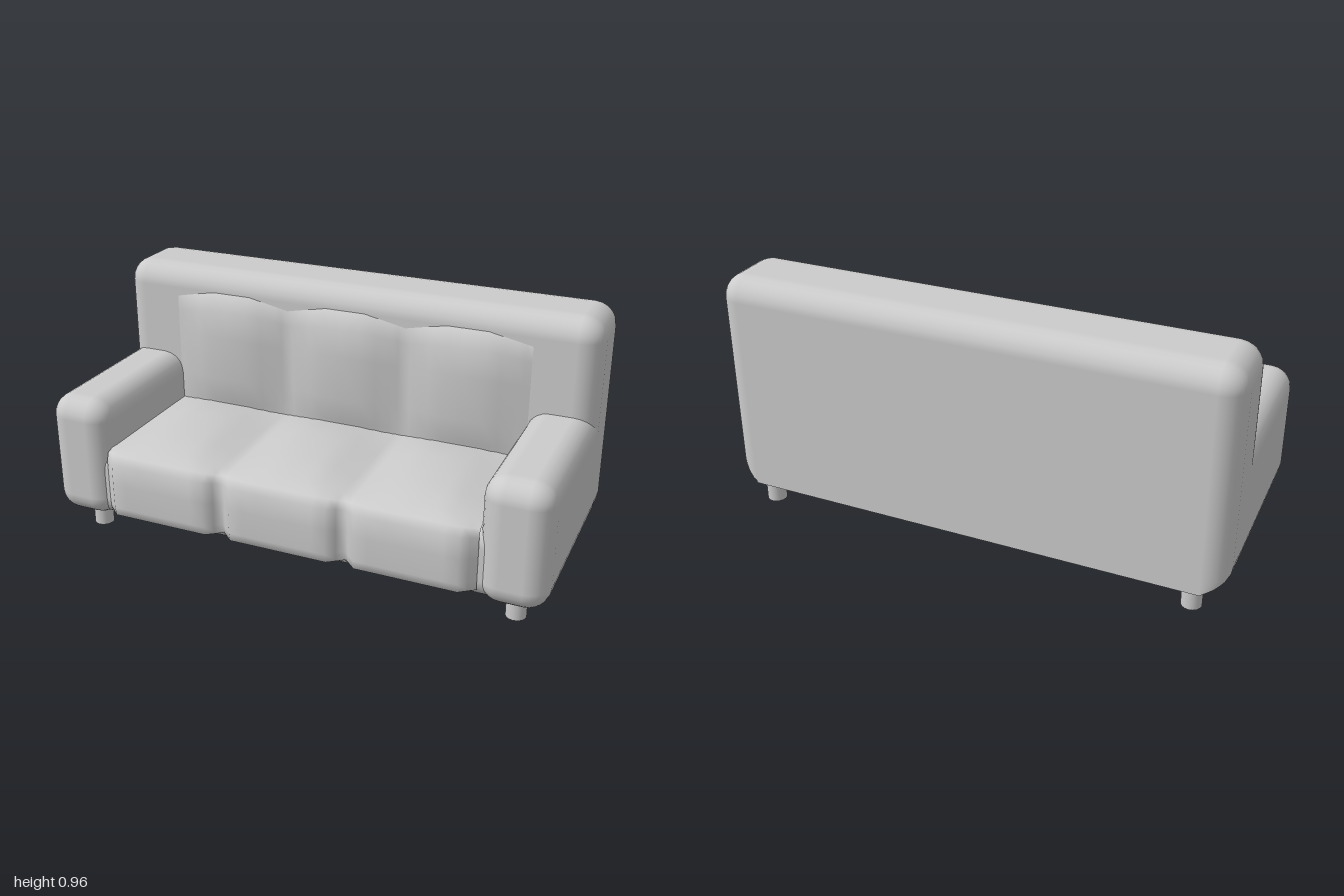
import * as THREE from 'three';
import { RoundedBoxGeometry } from 'three/addons/geometries/RoundedBoxGeometry.js';

const material = new THREE.MeshStandardMaterial({ color: 0xcccccc });
const padMaterial = new THREE.MeshStandardMaterial({ color: 0xcccccc, side: THREE.DoubleSide });

function addMesh(group, name, geometry, mat = material) {
  const mesh = new THREE.Mesh(geometry, mat);
  mesh.name = name;
  group.add(mesh);
  return mesh;
}

// Rounded box given by its minimum and maximum corners.
function softBox([x0, y0, z0], [x1, y1, z1], radius) {
  const box = new RoundedBoxGeometry(x1 - x0, y1 - y0, z1 - z0, 3, radius);
  return box.translate((x0 + x1) / 2, (y0 + y1) / 2, (z0 + z1) / 2);
}

// Straightens the fillet along the lower rear edge into a sharp corner.
function squareLowerRear(geometry, rearZ, radius) {
  const p = geometry.attributes.position;
  const n = geometry.attributes.normal;
  for (let i = 0; i < p.count; i++) {
    const flat = Math.hypot(n.getX(i), n.getZ(i));
    if (n.getY(i) < -0.01 && n.getZ(i) < -0.01 && flat > 0.01) {
      p.setZ(i, rearZ + radius + (radius * n.getZ(i)) / flat);
      n.setXYZ(i, n.getX(i) / flat, 0, n.getZ(i) / flat);
    }
  }
  return geometry;
}

// Three-section padding: each profile row is [seamZ, seamY, fullZ, fullY, ramp],
// where ramp is the share of a section used to swell from seam to full.
function paddedSurface(profile, halfWidth) {
  const steps = [0, 0.05, 0.11, 0.22, 0.34, 0.5, 0.66, 0.78, 0.89, 0.95];
  const columns = [];
  for (let s = 0; s < 3; s++) for (const u of steps) columns.push([s + u, u]);
  columns.push([3, 1]);

  const positions = [];
  const index = [];
  const rows = profile.length;
  columns.forEach(([t, u], i) => {
    for (const [sz, sy, fz, fy, ramp] of profile) {
      const swell = Math.min(1, Math.min(u, 1 - u) / ramp);
      positions.push(
        halfWidth * ((2 * t) / 3 - 1),
        THREE.MathUtils.lerp(sy, fy, swell),
        THREE.MathUtils.lerp(sz, fz, swell)
      );
    }
    if (i === columns.length - 1) return;
    for (let j = 0; j < rows - 1; j++) {
      const a = i * rows + j;
      const b = a + rows;
      index.push(a, b, a + 1, b, b + 1, a + 1);
    }
  });
  const geometry = new THREE.BufferGeometry();
  geometry.setAttribute('position', new THREE.Float32BufferAttribute(positions, 3));
  geometry.setIndex(index);
  geometry.computeVertexNormals();
  return geometry;
}

export function createModel() {
  const sofa = new THREE.Group();
  sofa.name = 'sofa';

  // Backrest running the full width, down to the underside
  const back = softBox([-1, 0.09, -0.49], [1, 0.965, -0.16], 0.09);
  addMesh(sofa, 'backrest', squareLowerRear(back, -0.49, 0.09));

  // Base under the seat
  addMesh(sofa, 'base', softBox([-0.9, 0.09, -0.46], [0.9, 0.385, 0.43], 0.085));

  // Seat padding, from the lower front edge over the top to the backrest
  const seat = [
    [0.40, 0.13, 0.41, 0.13, 0.11],
    [0.43, 0.14, 0.46, 0.135, 0.11],
    [0.432, 0.15, 0.48, 0.145, 0.11],
    [0.434, 0.18, 0.487, 0.18, 0.11],
    [0.434, 0.27, 0.487, 0.28, 0.11],
    [0.434, 0.35, 0.485, 0.365, 0.11],
    [0.425, 0.38, 0.455, 0.39, 0.16],
    [0.39, 0.39, 0.39, 0.415, 0.3],
    [0.28, 0.39, 0.26, 0.433, 0.34],
    [0.05, 0.39, 0.05, 0.435, 0.34],
    [-0.10, 0.39, -0.10, 0.41, 0.34],
    [-0.20, 0.39, -0.20, 0.39, 0.34],
  ];
  addMesh(sofa, 'seatCushions', paddedSurface(seat, 0.75), padMaterial);

  // Back padding, swelling forward in three sections
  const backPad = [
    [-0.158, 0.36, -0.15, 0.36, 0.34],
    [-0.158, 0.42, -0.135, 0.42, 0.34],
    [-0.158, 0.52, -0.111, 0.52, 0.34],
    [-0.158, 0.68, -0.111, 0.70, 0.34],
    [-0.158, 0.78, -0.111, 0.815, 0.34],
    [-0.159, 0.84, -0.155, 0.872, 0.34],
    [-0.18, 0.87, -0.18, 0.89, 0.34],
  ];
  addMesh(sofa, 'backCushions', paddedSurface(backPad, 0.75), padMaterial);

  // Arms and legs, mirrored
  for (const [side, sign] of [['left', 1], ['right', -1]]) {
    const inner = 0.745 * sign;
    const arm = softBox(
      [Math.min(inner, sign), 0.09, -0.4],
      [Math.max(inner, sign), 0.585, 0.455],
      0.085
    );
    addMesh(sofa, side + 'Arm', arm);

    for (const [end, z] of [['Front', 0.318], ['Rear', -0.42]]) {
      const leg = addMesh(sofa, side + end + 'Leg', new THREE.CylinderGeometry(0.039, 0.039, 0.11, 16));
      leg.position.set(0.87 * sign, 0.055, z);
    }
  }
  return sofa;
}
